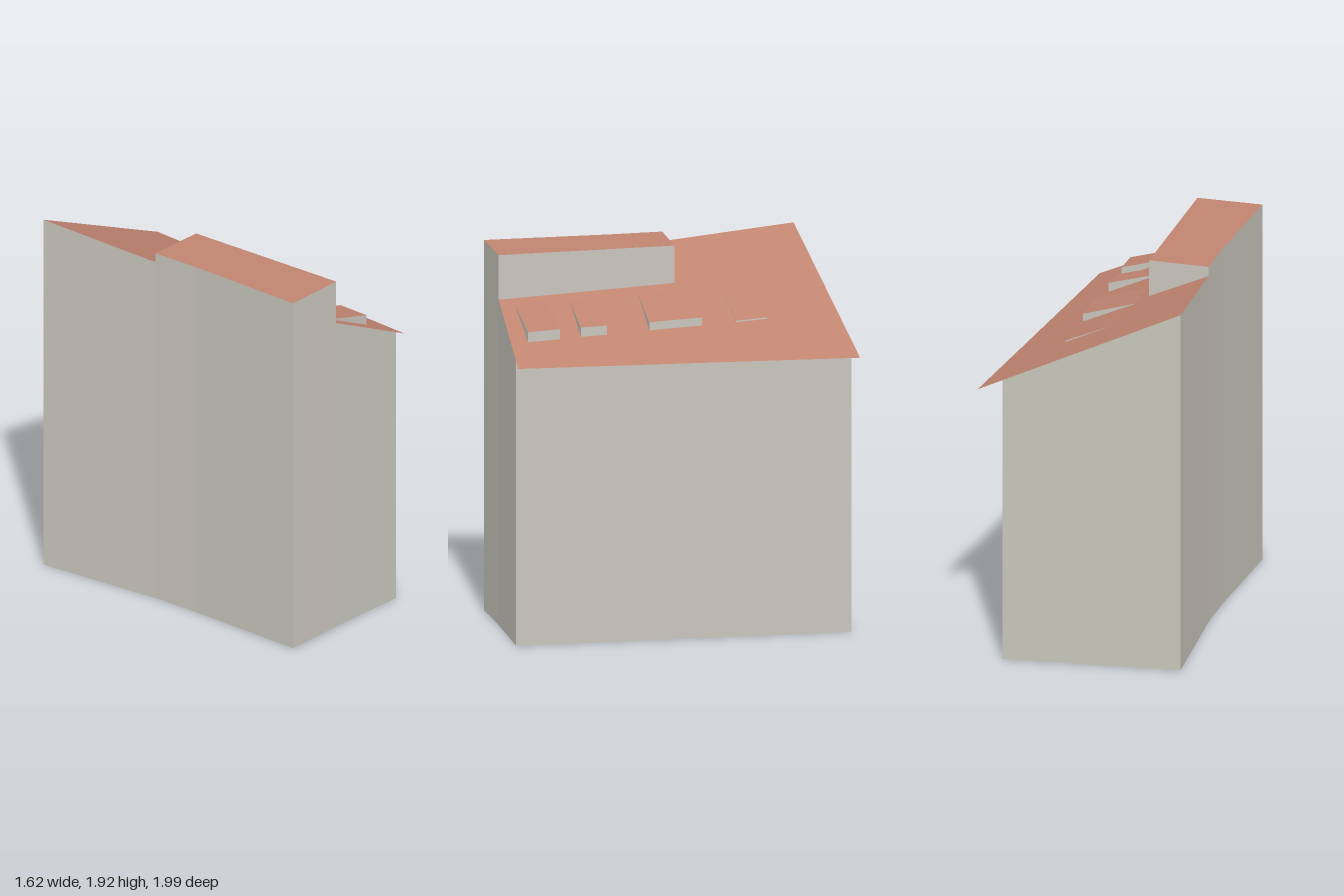
import * as THREE from 'three';

const TOP = 1.92;

// Height of the main pitched roof above plan point [x, z], rising from the eave
const roofY = ([x, z]) => 1.45 + 0.459 * (-0.889 * (x - 0.01) + 0.459 * (z + 1));

function meshFrom(positions, material, name) {
  const g = new THREE.BufferGeometry();
  g.setAttribute('position', new THREE.Float32BufferAttribute(positions, 3));
  g.computeVertexNormals();
  const m = new THREE.Mesh(g, material);
  m.name = name;
  return m;
}

// Polygon over plan points, with a height per point, facing up or down
function sheet(points, heights, up, material, name) {
  const contour = points.map(([x, z]) => new THREE.Vector2(x, -z));
  const out = [];
  for (const t of THREE.ShapeUtils.triangulateShape(contour, [])) {
    const [a, b, c] = t.map((i) => contour[i]);
    const ccw = (b.x - a.x) * (c.y - a.y) - (b.y - a.y) * (c.x - a.x) > 0;
    const order = ccw === up ? t : [t[0], t[2], t[1]];
    for (const i of order) out.push(points[i][0], heights[i], points[i][1]);
  }
  return meshFrom(out, material, name);
}

// Vertical walls, one per [start, end] edge, between two height functions
function walls(edges, low, high, material, name) {
  const out = [];
  for (const [p, q] of edges) {
    const v = (k, y) => [k[0], y, k[1]];
    const p0 = v(p, low(p)), q0 = v(q, low(q)), p1 = v(p, high(p, q)), q1 = v(q, high(q, p));
    out.push(...p0, ...q0, ...q1, ...p0, ...q1, ...p1);
  }
  return meshFrom(out, material, name);
}

const path = (pts) => pts.slice(1).map((p, i) => [pts[i], p]);

export function createModel() {
  const wallMat = new THREE.MeshStandardMaterial({ color: 0xc8c6bc, side: THREE.DoubleSide });
  wallMat.name = 'grey wall';
  const roofMat = new THREE.MeshStandardMaterial({ color: 0xc08470, side: THREE.DoubleSide });
  roofMat.name = 'terracotta roof';
  const group = new THREE.Group();
  group.name = 'house';

  // Plan points, anticlockwise from the left corner
  const left = [-0.81, -0.36], stepLeft = [-0.4, 0.2], bend = [-0.26, 0.42], front = [0.07, 0.99];
  const stepRight = [0.36, 0.81], right = [0.755, 0.58], back = [-0.09, -0.92];
  const stepInner = [-0.13, 0.04], eaveBack = [0.01, -1], eaveRight = [0.81, 0.55];

  // House body
  const ground = () => 0;
  const flat = () => TOP;
  group.add(walls(path([stepRight, right, back, left, stepLeft]), ground, roofY, wallMat, 'pitchedRoofWalls'));
  group.add(walls(path([stepLeft, bend, front, stepRight]), ground, flat, wallMat, 'flatRoofWalls'));
  group.add(walls(path([stepRight, stepInner, stepLeft]), roofY, flat, wallMat, 'raisedStepWalls'));
  const foot = [left, stepLeft, bend, front, stepRight, right, back];
  group.add(sheet(foot, foot.map(ground), false, wallMat, 'base'));

  // Roofs; the pitched one overhangs the rear wall
  const pitched = [left, stepLeft, stepInner, stepRight, eaveRight, eaveBack];
  group.add(sheet(pitched, pitched.map(roofY), true, roofMat, 'pitchedRoof'));
  const raised = [stepLeft, bend, front, stepRight, stepInner];
  group.add(sheet(raised, raised.map(flat), true, roofMat, 'flatRoof'));

  // Shed dormers: two front corners, offset to the back corners, face height
  const dormers = [
    [[0.02, -0.34], [-0.07, -0.475], [-0.18, 0.12], 0.008],
    [[0.26, 0.04], [0.115, -0.19], [-0.23, 0.14], 0.042],
    [[0.45, 0.34], [0.38, 0.225], [-0.23, 0.14], 0.048],
    [[0.6, 0.57], [0.51, 0.43], [-0.24, 0.155], 0.052],
  ];
  for (const [b, a, [dx, dz], rise] of dormers) {
    const backB = [b[0] + dx, b[1] + dz], backA = [a[0] + dx, a[1] + dz];
    const top = (p) => roofY(p) + (p === a || p === b ? rise : 0.002);
    const dormer = new THREE.Group();
    dormer.name = 'dormer';
    dormer.add(walls(path([backB, b, a, backA]), roofY, top, wallMat, 'dormerWalls'));
    const cover = [backB, b, a, backA];
    dormer.add(sheet(cover, cover.map(top), true, roofMat, 'dormerRoof'));
    group.add(dormer);
  }
  return group;
}
